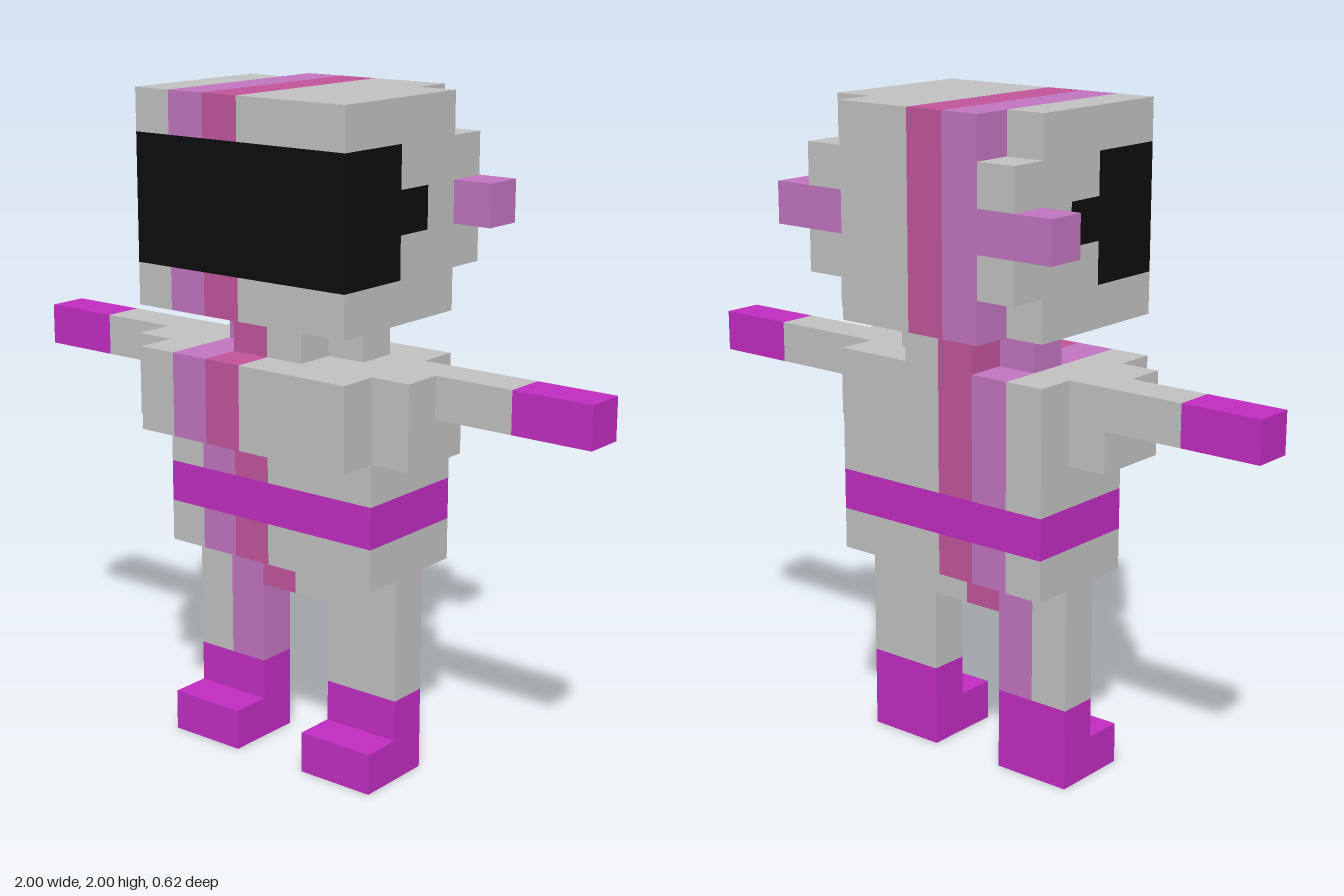
import * as THREE from 'three';

const U = 0.125; // one block

function material(name, color) {
  const m = new THREE.MeshStandardMaterial({ color });
  m.name = name;
  return m;
}

export function createModel() {
  const grey = material('suitGrey', 0xc0c0c0);
  const pink = material('stripePink', 0xc074be);
  const rose = material('stripeRose', 0xc05499);
  const magenta = material('trimMagenta', 0xc02cc0);
  const black = material('visorBlack', 0x0d0d0d);

  // Suit colour by column: two stripes run over the whole body
  const columns = [[-8, -2, grey], [-2, -1, pink], [-1, 0, rose], [0, 8, grey]];

  const model = new THREE.Group();
  model.name = 'spaceTraveller';

  function part(name) {
    const g = new THREE.Group();
    g.name = name;
    model.add(g);
    return g;
  }

  // Box between block coordinates
  function box(parent, name, mat, [x0, x1], [y0, y1], [z0, z1]) {
    const geo = new THREE.BoxGeometry((x1 - x0) * U, (y1 - y0) * U, (z1 - z0) * U);
    const mesh = new THREE.Mesh(geo, mat);
    mesh.name = name;
    mesh.position.set((x0 + x1) * U / 2, (y0 + y1) * U / 2, (z0 + z1) * U / 2);
    parent.add(mesh);
  }

  // Box cut along x into the suit columns
  function suit(parent, name, [x0, x1], y, z) {
    for (const [a, b, mat] of columns) {
      const lo = Math.max(a, x0), hi = Math.min(b, x1);
      if (lo < hi) box(parent, name, mat, [lo, hi], y, z);
    }
  }

  const span = (side, a, b) => (side > 0 ? [a, b] : [-b, -a]);

  // Head
  const head = part('head');
  suit(head, 'jaw', [-3, 3], [11, 12], [-1.5, 2.5]);
  suit(head, 'crown', [-3, 3], [15, 16], [-1.5, 2.5]);
  suit(head, 'helmetBack', [-3, 3], [12, 15], [-1.5, -0.5]);
  suit(head, 'helmetCore', [-2, 2], [12, 15], [-0.5, 0.5]);
  suit(head, 'helmetRear', [-2, 2], [11, 16], [-2.5, -1.5]);
  box(head, 'visor', black, [-3, 3], [12, 15], [0.5, 2.5]);

  // Neck, plus-shaped in section
  const neck = part('neck');
  suit(neck, 'neckCore', [-1, 1], [10, 11], [-1.5, 1.5]);
  suit(neck, 'neckSideRight', [-2, -1], [10, 11], [-0.5, 0.5]);
  suit(neck, 'neckSideLeft', [1, 2], [10, 11], [-0.5, 0.5]);

  // Torso
  const torso = part('torso');
  suit(torso, 'upperBody', [-3, 3], [7, 10], [-1.5, 1.5]);
  suit(torso, 'chestPlate', [-3, 3], [8, 10], [1.5, 2.5]);
  box(torso, 'belt', magenta, [-3, 3], [6, 7], [-1.5, 1.5]);
  suit(torso, 'hips', [-3, 3], [5, 6], [-1.5, 1.5]);
  suit(torso, 'crotch', [-1, 1], [4, 5], [-0.5, 0.5]);

  // Mirrored parts
  for (const side of [1, -1]) {
    const label = side > 0 ? 'left' : 'right';
    const x = (a, b) => span(side, a, b);

    const sideHead = part(label + 'HeadSide');
    box(sideHead, 'visorStrap', black, x(2, 3), [13, 14], [-0.5, 0.5]);
    box(sideHead, 'earPiece', pink, x(2, 4), [13, 14], [-2.5, -1.5]);
    for (const y of [[12, 13], [14, 15]]) {
      box(sideHead, 'cheek', grey, x(2, 3), y, [-0.5, 0.5]);
      box(sideHead, 'rearCorner', grey, x(2, 3), y, [-2.5, -1.5]);
    }

    const arm = part(label + 'Arm');
    box(arm, 'shoulder', grey, x(3, 4), [8, 10], [-0.5, 1.5]);
    box(arm, 'forearm', grey, x(4, 6), [9, 10], [-0.5, 0.5]);
    box(arm, 'glove', magenta, x(6, 8), [9, 10], [-0.5, 0.5]);

    const leg = part(label + 'Leg');
    suit(leg, 'shin', x(1, 3), [2, 5], [-0.5, 0.5]);
    box(leg, 'boot', magenta, x(1, 3), [0, 2], [-0.5, 0.5]);
    box(leg, 'toe', magenta, x(1, 3), [0, 1], [0.5, 1.5]);
  }

  return model;
}
